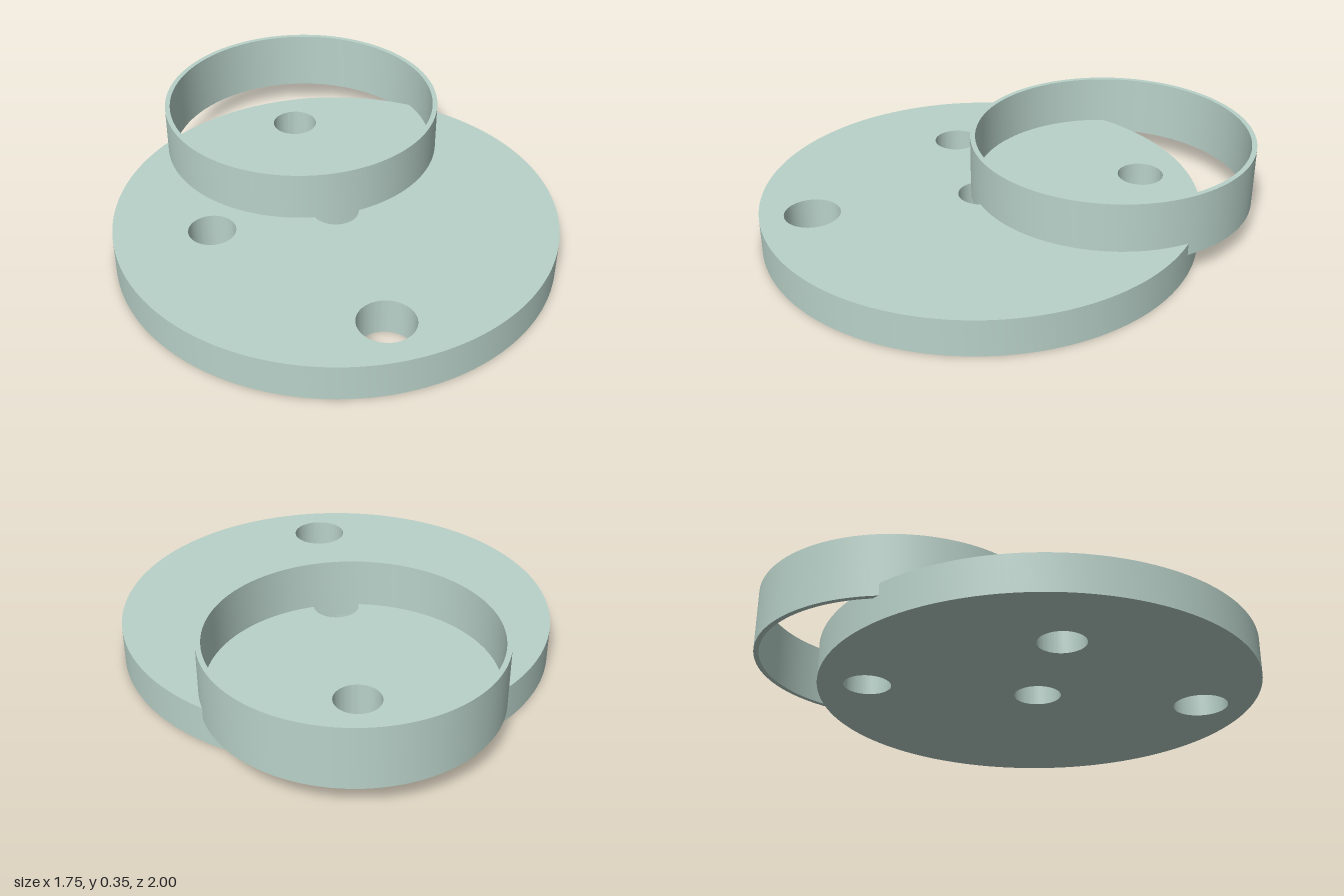
import * as THREE from 'three';
import { toCreasedNormals } from 'three/addons/utils/BufferGeometryUtils.js';

const material = new THREE.MeshStandardMaterial({ color: 0xb9d2c9 });

// Round plate in the ground plane, standing from y0 to y1, pierced by [x, z, radius] holes
function roundPlate(name, z, radius, y0, y1, holes) {
  const shape = new THREE.Shape().absarc(0, -z, radius, 0, Math.PI * 2, false);
  for (const [hx, hz, hr] of holes) {
    shape.holes.push(new THREE.Path().absarc(hx, -hz, hr, 0, Math.PI * 2, true));
  }
  const geometry = new THREE.ExtrudeGeometry(shape, {
    depth: y1 - y0, bevelEnabled: false, curveSegments: 96,
  });
  geometry.rotateX(-Math.PI / 2).translate(0, y0, 0);
  const mesh = new THREE.Mesh(toCreasedNormals(geometry, 0.6), material);
  mesh.name = name;
  return mesh;
}

export function createModel() {
  const group = new THREE.Group();
  group.name = 'drilledDiscWithRing';

  // Base disc with four through holes
  group.add(roundPlate('baseDisc', 0.125, 0.875, 0, 0.15, [
    [0, 0.12, 0.093],
    [-0.495, 0.12, 0.093],
    [0, -0.555, 0.093],
    [0, 0.795, 0.11],
  ]));

  // Thin ring sunk into the disc and overhanging its back edge
  group.add(roundPlate('rimRing', -0.425, 0.575, 0.1, 0.35, [[0, -0.425, 0.555]]));

  return group;
}
